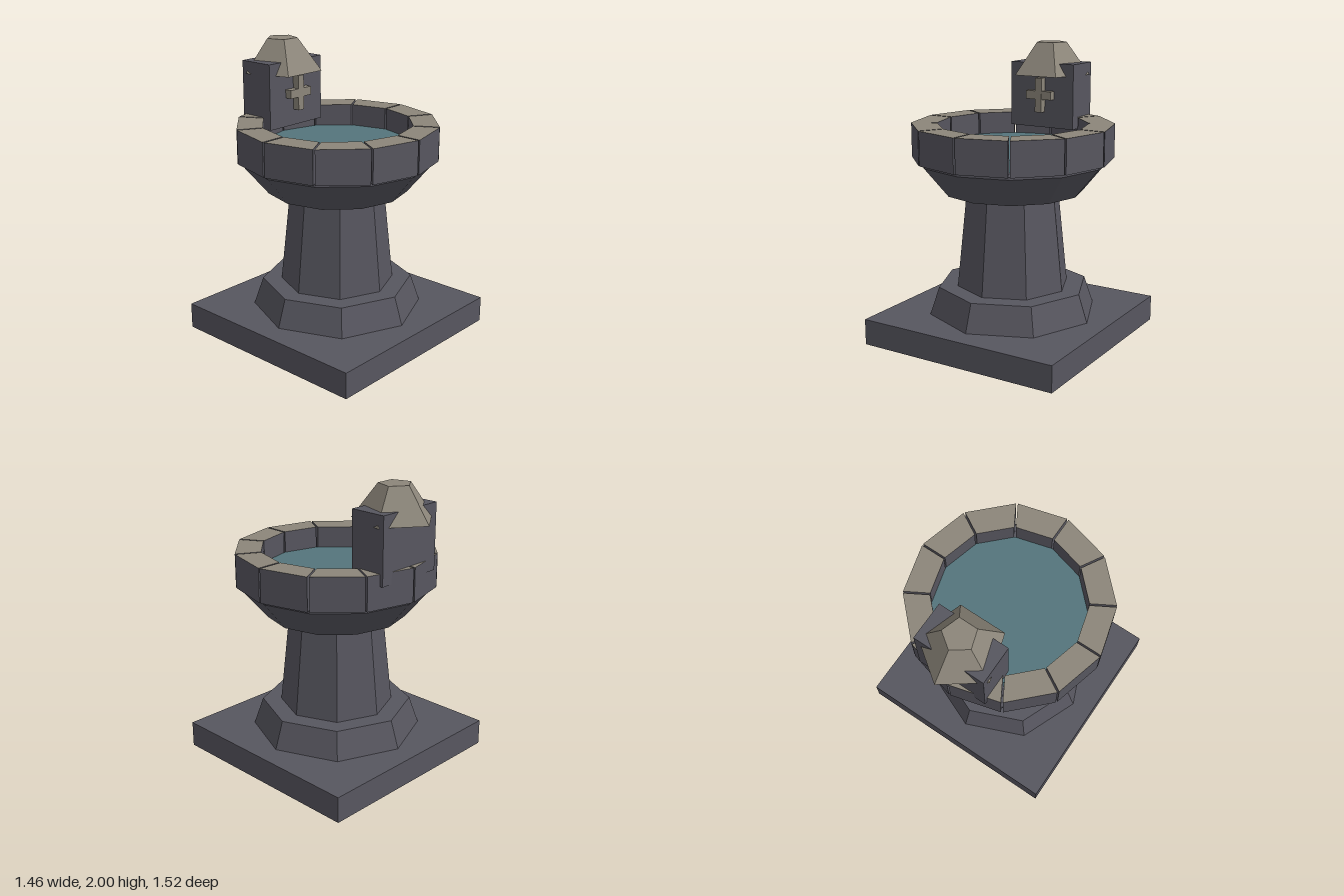
import * as THREE from 'three';

const CZ = 0.03; // centre of the basin in z

const mat = (name, color) => {
  const m = new THREE.MeshStandardMaterial({ color });
  m.name = name;
  return m;
};

export function createModel() {
  const stone = mat('darkStone', 0x57565f);
  const tan = mat('tanStone', 0x8c867a);
  const water = mat('water', 0x54757c);
  const model = new THREE.Group();
  model.name = 'fountain';

  const add = (name, geometry, material, x, y, z, parent = model) => {
    const mesh = new THREE.Mesh(geometry, material);
    mesh.name = name;
    mesh.position.set(x, y, z);
    parent.add(mesh);
    return mesh;
  };

  // Faceted tapered drum standing between heights y0 and y1
  const drum = (name, rBottom, rTop, y0, y1, sides, material, z = CZ) => {
    const g = new THREE.CylinderGeometry(rTop, rBottom, y1 - y0, sides).toNonIndexed();
    g.computeVertexNormals();
    return add(name, g, material, 0, (y0 + y1) / 2, z);
  };

  // Foot, pedestal and bowl
  add('baseSlab', new THREE.BoxGeometry(1.46, 0.18, 1.46), stone, 0, 0.09, CZ);
  drum('plinth', 0.585, 0.52, 0.18, 0.37, 8, stone);
  drum('column', 0.39, 0.32, 0.37, 1.035, 8, stone);
  drum('bowl', 0.48, 0.65, 1.035, 1.24, 12, stone);
  drum('bowlLip', 0.65, 0.65, 1.24, 1.258, 12, stone);
  drum('waterPool', 0.512, 0.512, 1.258, 1.34, 12, water);

  // Ring of twelve rim stones with narrow gaps, tan on top
  const rim = new THREE.Group();
  rim.name = 'rim';
  model.add(rim);
  const gap = 0.006, step = Math.PI / 6;
  const corner = (r, a, side) => new THREE.Vector2(
    r * Math.cos(a) - side * gap * Math.sin(a),
    r * Math.sin(a) + side * gap * Math.cos(a)
  );
  for (let i = 0; i < 12; i++) {
    const a = i * step, b = a + step;
    const shape = new THREE.Shape([
      corner(0.51, a, 1), corner(0.685, a, 1), corner(0.685, b, -1), corner(0.51, b, -1),
    ]);
    const g = new THREE.ExtrudeGeometry(shape, { depth: 0.23, bevelEnabled: false });
    g.rotateX(-Math.PI / 2);
    g.clearGroups();
    g.addGroup(0, 6, 0);   // underside
    g.addGroup(6, 6, 1);   // top face
    g.addGroup(12, 24, 0); // walls
    add('rimStone', g, [stone, tan], 0, 1.26, CZ, rim);
  }

  // Small tower on the back of the rim, with a five-sided roof
  add('tower', new THREE.BoxGeometry(0.5, 0.45, 0.26), stone, 0, 1.635, -0.482);
  drum('roof', 0.276, 0.11, 1.775, 2.0, 5, tan, -0.484).rotation.y = Math.PI;

  // Raised cross on the tower front
  add('crossUpright', new THREE.BoxGeometry(0.052, 0.24, 0.06), tan, 0, 1.64, -0.332);
  add('crossBar', new THREE.BoxGeometry(0.2, 0.058, 0.058), tan, 0, 1.64, -0.332);

  return model;
}
